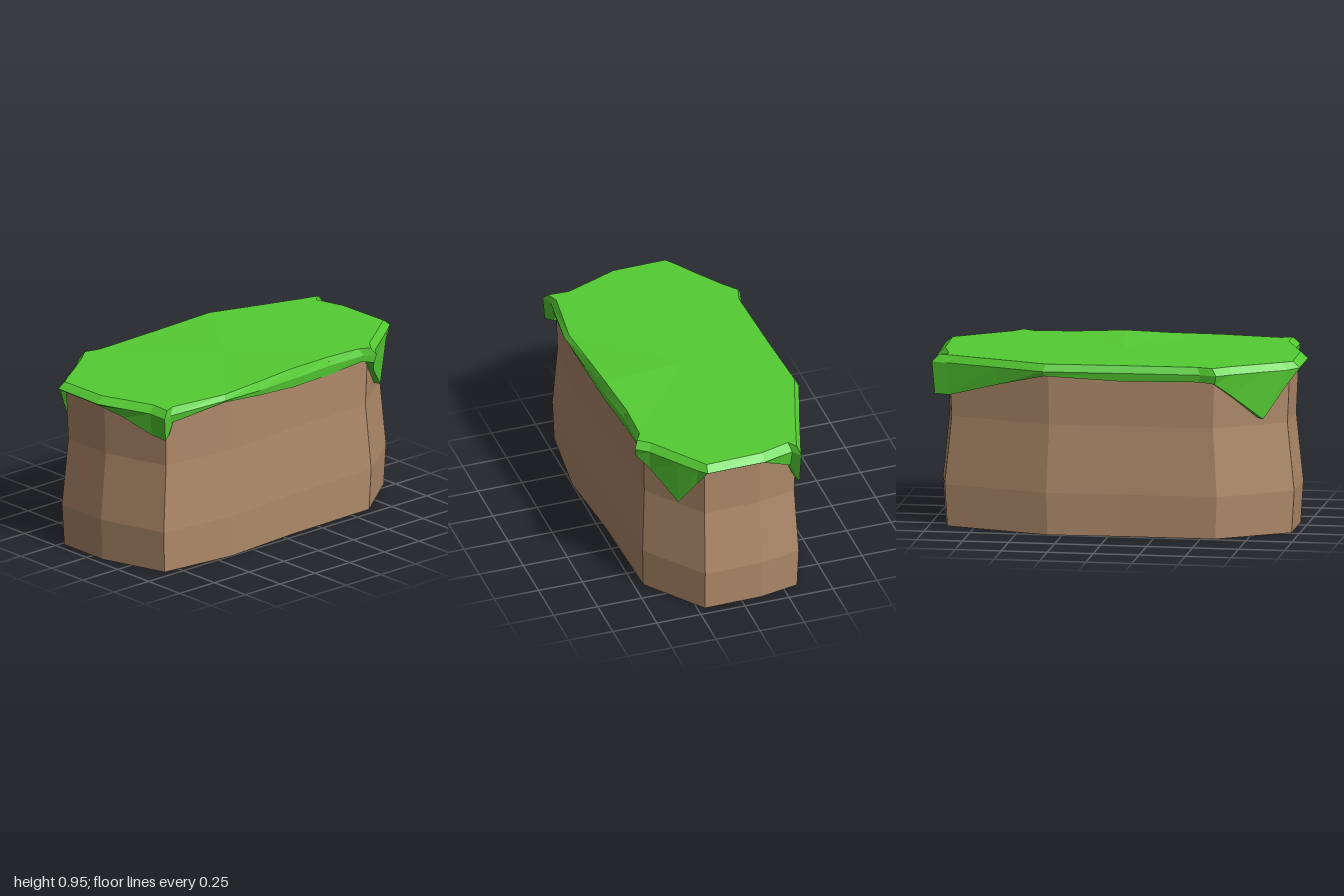
import * as THREE from 'three';

// Skin horizontal rings (listed bottom to top), optionally closing the ends with fans.
function loft(rings, closeBottom, topCentre) {
  const pos = [];
  const tri = (a, b, c) => pos.push(...a, ...b, ...c);
  const n = rings[0].length;
  for (let i = 0; i < n; i++) {
    const j = (i + 1) % n;
    for (let r = 0; r < rings.length - 1; r++) {
      const lo = rings[r], hi = rings[r + 1];
      tri(lo[i], hi[i], lo[j]);
      tri(lo[j], hi[i], hi[j]);
    }
    const top = rings[rings.length - 1];
    tri(topCentre, top[j], top[i]);
    if (closeBottom) tri([0, rings[0][0][1], 0], rings[0][i], rings[0][j]);
  }
  const g = new THREE.BufferGeometry();
  g.setAttribute('position', new THREE.Float32BufferAttribute(pos, 3));
  g.computeVertexNormals();
  return g;
}

function part(name, geometry, color) {
  const material = new THREE.MeshStandardMaterial({ color, flatShading: true, side: THREE.DoubleSide });
  const mesh = new THREE.Mesh(geometry, material);
  mesh.name = name;
  return mesh;
}

export function createModel() {
  const group = new THREE.Group();
  group.name = 'grassyBlock';

  // Earth body: one faceted outline [x, z] with a gentle waist
  const outline = [
    [0.95, 0.21], [0.63, 0.45], [0.06, 0.465], [-0.40, 0.5], [-0.84, 0.45], [-0.955, 0.08],
    [-0.955, -0.23], [-0.58, -0.48], [-0.06, -0.485], [0.33, -0.5], [0.9, -0.33], [0.945, -0.11],
  ];
  const levels = [[0, 1], [0.23, 1.015], [0.6, 0.975], [0.915, 0.99]];
  const body = levels.map(([y, s]) => outline.map(([x, z]) => [x * s, y, z * s]));
  group.add(part('earthBody', loft(body, true, [0, 0.915, 0]), 0xb08b6b));

  // Grass rim [x, z, height of its hanging edge], with two long points and two corner flaps
  const rim = [
    [0.995, 0.21, 0.89], [0.94, 0.25, 0.8], [0.84, 0.325, 0.635], [0.69, 0.435, 0.78],
    [0.64, 0.5, 0.85], [0.58, 0.465, 0.86], [0.35, 0.46, 0.84], [0.06, 0.485, 0.845],
    [-0.2, 0.5, 0.865], [-0.47, 0.52, 0.895], [-0.82, 0.475, 0.85], [-0.885, 0.5, 0.77],
    [-0.88, 0.38, 0.77], [-0.94, 0.22, 0.84], [-0.995, 0.08, 0.885],
    [-1, -0.23, 0.89], [-0.94, -0.275, 0.8], [-0.83, -0.345, 0.635], [-0.67, -0.455, 0.78],
    [-0.59, -0.52, 0.85], [-0.5, -0.495, 0.855], [-0.06, -0.51, 0.85], [0.35, -0.53, 0.87],
    [0.62, -0.44, 0.8], [0.9, -0.35, 0.72], [0.985, -0.325, 0.72], [0.935, -0.29, 0.8], [0.985, -0.12, 0.885],
  ];
  const ring = (s, height) => rim.map(([x, z, low]) => [x * s, height(low, x, z), z * s]);
  const grass = [
    ring(0.93, (low) => low + 0.01),
    ring(0.985, (low) => low),
    ring(1, (low) => Math.max(0.895, low + 0.012)),
    ring(0.96, (low, x, z) => 0.934 + (z > 0.4 ? 0.014 * Math.max(0, 1 - Math.abs(x - 0.07) / 0.4) : 0)),
  ];
  group.add(part('grassCap', loft(grass, false, [0, 0.938, 0]), 0x55cc33));

  return group;
}
